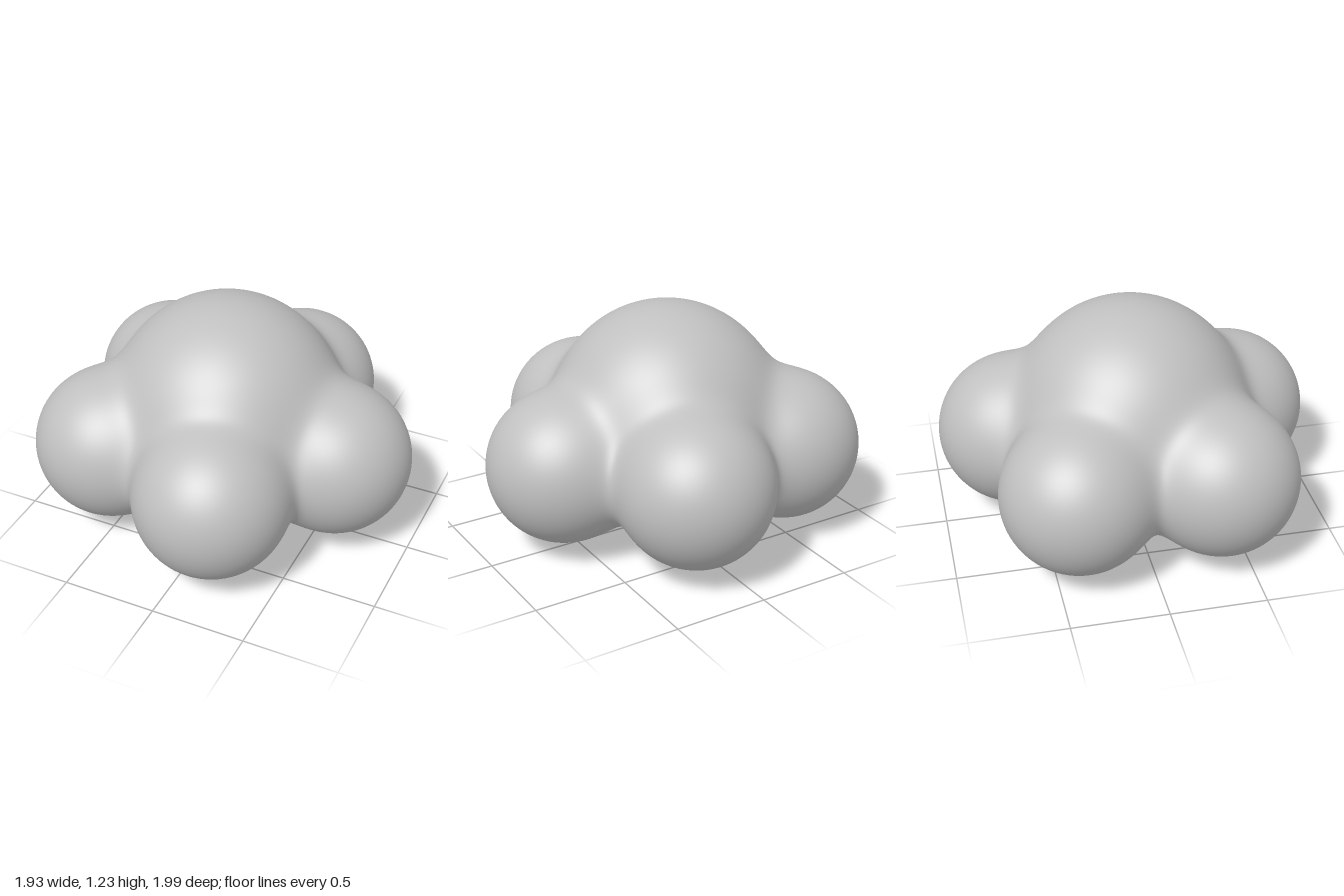
import * as THREE from 'three';

// Puffy cloud: one big ball and a ring of five smaller ones, smoothly fused.
const AXIS_X = -0.055, BLEND = 0.05;
const puffs = [{ c: new THREE.Vector3(AXIS_X, 0.615, 0), r: 0.615 }];
for (let i = 0; i < 5; i++) {
  const a = (i * Math.PI * 2) / 5;
  puffs.push({ c: new THREE.Vector3(AXIS_X + 0.62 * Math.cos(a), 0.47, 0.62 * Math.sin(a)), r: 0.403 });
}

// Smooth union distance; optionally returns the outward normal
function field(p, normal) {
  let sum = 0;
  if (normal) normal.set(0, 0, 0);
  for (const { c, r } of puffs) {
    const d = p.distanceTo(c);
    const w = Math.exp(-(d - r) / BLEND);
    sum += w;
    if (normal) normal.addScaledVector(p.clone().sub(c), w / d);
  }
  if (normal) normal.normalize();
  return -BLEND * Math.log(sum);
}

// Push every vertex of a sphere out to the fused surface
function fusedGeometry() {
  const geo = new THREE.IcosahedronGeometry(1, 50);
  const pos = geo.attributes.position, nor = geo.attributes.normal;
  const origin = new THREE.Vector3(AXIS_X, 0.53, 0);
  const dir = new THREE.Vector3(), p = new THREE.Vector3(), n = new THREE.Vector3();
  for (let i = 0; i < pos.count; i++) {
    dir.fromBufferAttribute(pos, i).normalize();
    let lo = 0.3, hi = 1.3;
    for (let k = 0; k < 24; k++) {
      const mid = (lo + hi) / 2;
      p.copy(origin).addScaledVector(dir, mid);
      if (field(p) < 0) lo = mid; else hi = mid;
    }
    field(p, n);
    pos.setXYZ(i, p.x, p.y, p.z);
    nor.setXYZ(i, n.x, n.y, n.z);
  }
  return geo;
}

export function createModel() {
  const group = new THREE.Group();
  group.name = 'cloud';
  const grey = new THREE.MeshStandardMaterial({ color: 0xc0c0c0 });
  grey.name = 'light grey';
  const body = new THREE.Mesh(fusedGeometry(), grey);
  body.name = 'cloudBody';
  group.add(body);
  return group;
}
